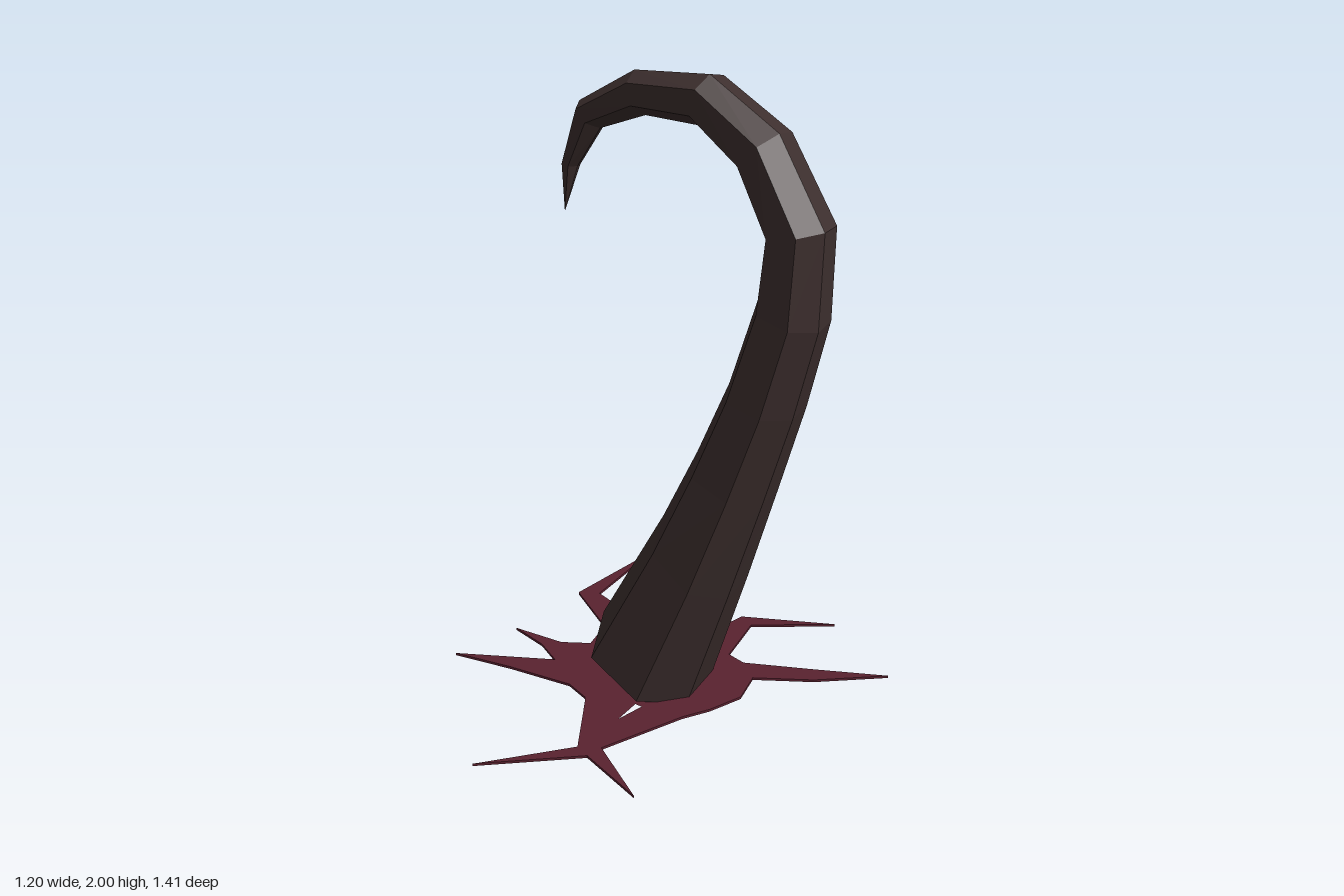
import * as THREE from 'three';

// Rings from base to tip: inner edge x, y, outer edge x, y, front z, back z
const RINGS = [
  [-0.215, 0.185, 0.155, 0.00, 0.148, -0.285],
  [0.03, 0.60, 0.30, 0.41, 0.113, -0.235],
  [0.16, 0.85, 0.42, 0.76, 0.09, -0.20],
  [0.275, 1.10, 0.515, 1.05, 0.075, -0.18],
  [0.37, 1.38, 0.59, 1.33, 0.062, -0.168],
  [0.398, 1.58, 0.60, 1.62, 0.055, -0.158],
  [0.31, 1.74, 0.44, 1.87, 0.045, -0.146],
  [0.16, 1.845, 0.20, 2.00, 0.035, -0.132],
  [-0.04, 1.845, -0.07, 1.975, 0.022, -0.115],
  [-0.21, 1.78, -0.28, 1.855, 0.01, -0.098],
  [-0.30, 1.65, -0.35, 1.66, -0.01, -0.073],
  [-0.355, 1.50, -0.355, 1.50, -0.04, -0.04],
];

// Cross-section: share of the way inner to outer, then front to back
const SECTION = [
  [0.28, 0], [0.77, 0], [1, 0.34], [0.9, 0.76], [0.72, 0.87],
  [0.53, 1], [0.34, 0.92], [0.1, 0.73], [0, 0.43],
];
const STRIPE_SIDES = [4, 5];

// Outline of the splat as x, z
const SPLAT = [
  [-0.34, -0.19], [-0.565, -0.32], [-0.565, -0.71], [-0.505, -0.36], [-0.18, -0.265], [-0.05, -0.30],
  [-0.02, -0.53], [0.255, -0.68], [0.04, -0.50], [0.10, -0.295], [0.17, -0.28],
  [0.37, -0.385], [0.58, -0.50], [0.41, -0.33], [0.25, -0.22], [0.29, -0.10], [0.26, 0.02], [0.22, 0.11],
  [0.14, 0.40], [0.38, 0.54], [0.135, 0.46], [-0.10, 0.705], [0.08, 0.44], [-0.07, 0.23], [-0.09, 0.205],
  [-0.18, 0.175], [-0.40, 0.21], [-0.60, 0.255], [-0.32, 0.085],
  [-0.42, 0.035], [-0.56, 0.005], [-0.38, -0.015], [-0.30, -0.07],
];
const GAP = [[0.06, 0.14], [0.085, 0.14], [0.075, 0.24]];

function ringPoint(ring, side) {
  const [ix, iy, ox, oy, front, back] = RINGS[ring];
  const [t, w] = SECTION[side % SECTION.length];
  return [ix + (ox - ix) * t, iy + (oy - iy) * t, front + (back - front) * w];
}

// Lofts the chosen sides of the cross-section along the rings
function loft(sides, capped) {
  const pos = [];
  const last = RINGS.length - 1;
  for (const s of sides) {
    for (let r = 0; r < last; r++) {
      const a = ringPoint(r, s), b = ringPoint(r, s + 1);
      const c = ringPoint(r + 1, s + 1), d = ringPoint(r + 1, s);
      pos.push(...a, ...b, ...c);
      if (r < last - 1) pos.push(...a, ...c, ...d);
    }
  }
  if (capped) {
    for (let s = 1; s < SECTION.length - 1; s++) {
      pos.push(...ringPoint(0, 0), ...ringPoint(0, s + 1), ...ringPoint(0, s));
    }
  }
  const geo = new THREE.BufferGeometry();
  geo.setAttribute('position', new THREE.Float32BufferAttribute(pos, 3));
  geo.computeVertexNormals();
  return geo;
}

export function createModel() {
  const bark = new THREE.MeshStandardMaterial({ color: 0x3d2f2e, flatShading: true });
  bark.name = 'dark brown';
  const red = new THREE.MeshStandardMaterial({ color: 0x5a2230, flatShading: true });
  red.name = 'dark red';

  const group = new THREE.Group();
  group.name = 'hookedTentacle';
  const add = (name, geo, mat) => {
    const mesh = new THREE.Mesh(geo, mat);
    mesh.name = name;
    group.add(mesh);
    return mesh;
  };

  // Curled stalk with a red stripe down its back
  const stalkSides = SECTION.map((_, i) => i).filter((i) => !STRIPE_SIDES.includes(i));
  add('stalk', loft(stalkSides, true), bark);
  add('backStripe', loft(STRIPE_SIDES, false), red);

  // Flat spiky splat on the ground
  const toShape = (pts) => pts.map(([x, z]) => new THREE.Vector2(x, -z));
  const shape = new THREE.Shape(toShape(SPLAT));
  shape.holes.push(new THREE.Path(toShape(GAP)));
  const splat = new THREE.ExtrudeGeometry(shape, { depth: 0.008, bevelEnabled: false });
  splat.rotateX(-Math.PI / 2);
  add('groundSplat', splat, red).position.y = 0.018;

  return group;
}
